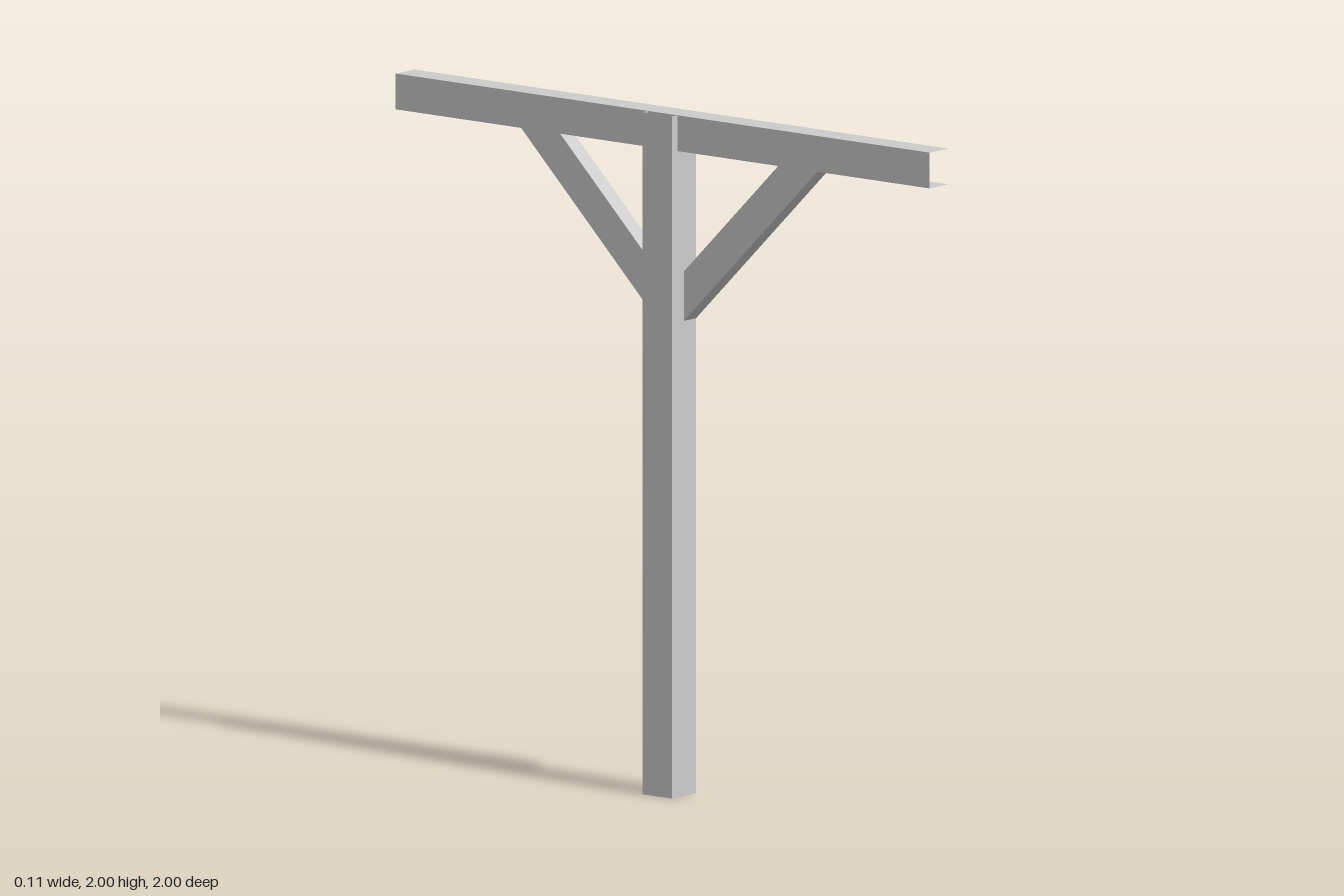
import * as THREE from 'three';

const material = new THREE.MeshStandardMaterial({ color: 0xcccccc, side: THREE.DoubleSide });

// Thin sheet channel running along y: web at xWeb, two flanges reaching out to xOpen
function channel(name, xWeb, xOpen, width, length) {
  const h = width / 2;
  const section = [[xOpen, h], [xWeb, h], [xWeb, -h], [xOpen, -h]];
  const positions = [];
  for (let i = 0; i < section.length - 1; i++) {
    const [ax, az] = section[i];
    const [bx, bz] = section[i + 1];
    const lo = -length / 2, hi = length / 2;
    // Corners ordered so the outer side of the channel is the front
    positions.push(ax, lo, az, bx, hi, bz, bx, lo, bz);
    positions.push(ax, lo, az, ax, hi, az, bx, hi, bz);
  }
  const geometry = new THREE.BufferGeometry();
  geometry.setAttribute('position', new THREE.Float32BufferAttribute(positions, 3));
  geometry.computeVertexNormals();
  const mesh = new THREE.Mesh(geometry, material);
  mesh.name = name;
  return mesh;
}

export function createModel() {
  const group = new THREE.Group();
  group.name = 'beamPost';

  // Upright post, open towards +x
  const post = channel('post', -0.055, 0.055, 0.11, 2);
  post.position.y = 1;
  group.add(post);

  // Horizontal beam along z, passing through the top of the post
  const beam = channel('beam', -0.03, 0.055, 0.105, 2);
  beam.rotation.x = Math.PI / 2;
  beam.position.y = 1.9475;
  group.add(beam);

  // Pair of diagonal braces between post and beam
  for (const side of [1, -1]) {
    const brace = channel(side > 0 ? 'frontBrace' : 'backBrace', 0, 0.055, 0.103, 0.768);
    brace.rotation.x = side * 0.79;
    brace.position.set(0, 1.676, side * 0.2675);
    group.add(brace);
  }

  return group;
}
